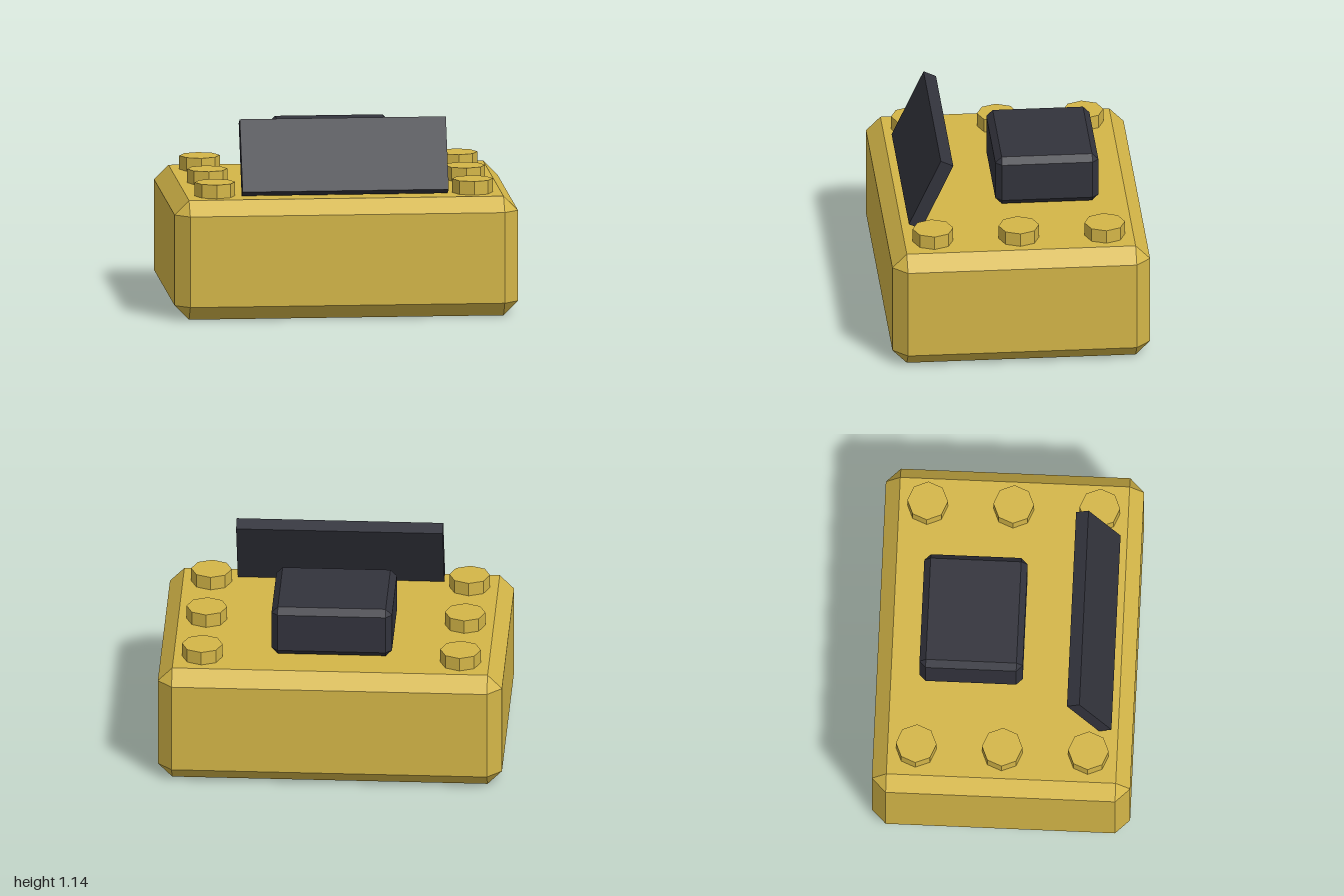
import * as THREE from 'three';
import { ConvexGeometry } from 'three/addons/geometries/ConvexGeometry.js';

// Box with equal chamfers on every edge and a triangle at every corner
function chamferedBox(w, h, d, c) {
  const x = w / 2, y = h / 2, z = d / 2;
  const points = [];
  for (const sx of [-1, 1]) for (const sy of [-1, 1]) for (const sz of [-1, 1]) {
    points.push(
      new THREE.Vector3(sx * x, sy * (y - c), sz * (z - c)),
      new THREE.Vector3(sx * (x - c), sy * y, sz * (z - c)),
      new THREE.Vector3(sx * (x - c), sy * (y - c), sz * z)
    );
  }
  return new ConvexGeometry(points);
}

export function createModel() {
  const model = new THREE.Group();
  model.name = 'model';

  const yellow = new THREE.MeshStandardMaterial({ color: 0xd4b648 });
  yellow.name = 'mustardYellow';
  yellow.flatShading = true;
  const dark = new THREE.MeshStandardMaterial({ color: 0x32333c });
  dark.name = 'charcoal';
  dark.flatShading = true;

  const add = (name, geometry, material, x, y, z) => {
    const mesh = new THREE.Mesh(geometry, material);
    mesh.name = name;
    mesh.position.set(x, y, z);
    model.add(mesh);
    return mesh;
  };

  // Main body
  add('body', chamferedBox(2, 0.7, 1.5, 0.084), yellow, 0, 0.35, 0);

  // Raised block behind the centre, with a hairline gap under it
  add('topBlock', chamferedBox(0.7, 0.3, 0.6, 0.037), dark, 0, 0.861, -0.2);

  // Front panel leaning back
  const panel = add('tiltedPanel', new THREE.BoxGeometry(1.2, 0.44, 0.08), dark, 0, 0.921, 0.498);
  panel.rotation.x = THREE.MathUtils.degToRad(-25);

  // Octagonal studs along both sides
  const stud = new THREE.CylinderGeometry(0.118, 0.118, 0.08, 8);
  for (const [side, x] of [['left', 0.75], ['right', -0.75]]) {
    [0.5, 0, -0.5].forEach((z, i) => add(`${side}Stud${i + 1}`, stud, yellow, x, 0.74, z));
  }

  return model;
}
